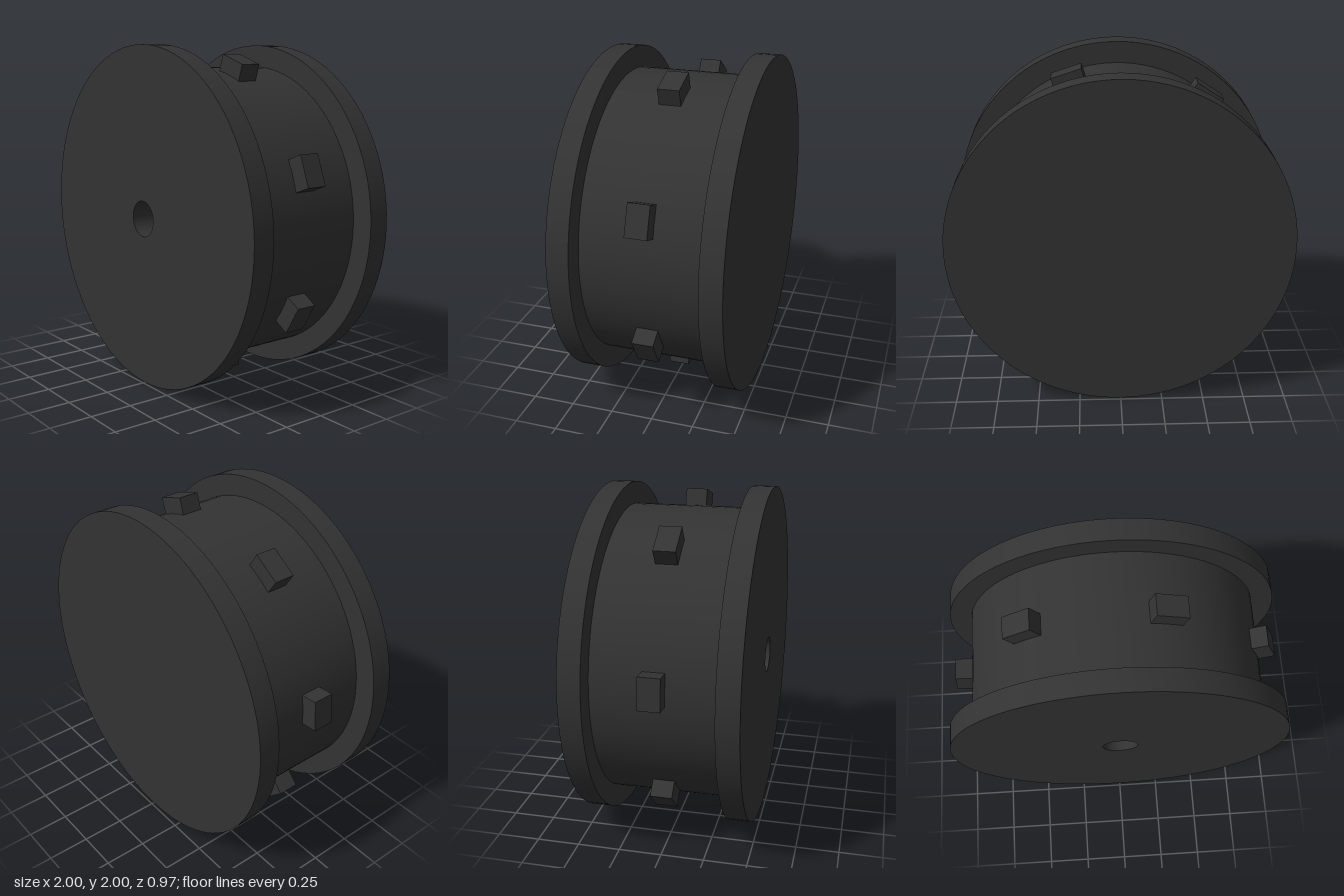
import * as THREE from 'three';
import { toCreasedNormals } from 'three/addons/utils/BufferGeometryUtils.js';

const FLANGE_R = 1, DRUM_R = 0.87, BORE_R = 0.105;
const HALF_WIDTH = 0.485, HALF_GROOVE = 0.355;
const TEETH = 7, TOOTH_TIP_R = 0.965, TOOTH_ROOT_R = 0.8;

export function createModel() {
  const model = new THREE.Group();
  model.name = 'sprocketWheel';
  const charcoal = new THREE.MeshStandardMaterial({ color: 0x333333 });
  charcoal.name = 'charcoal';

  // Wheel axis runs along z through the group's origin
  const wheel = new THREE.Group();
  wheel.name = 'wheel';
  wheel.position.y = 1;
  model.add(wheel);

  // Two flanges, drum and blind axle bore turned as one profile, back to front
  const profile = [
    [0, -HALF_WIDTH],
    [FLANGE_R, -HALF_WIDTH], [FLANGE_R, -HALF_GROOVE],
    [DRUM_R, -HALF_GROOVE], [DRUM_R, HALF_GROOVE],
    [FLANGE_R, HALF_GROOVE], [FLANGE_R, HALF_WIDTH],
    [BORE_R, HALF_WIDTH], [BORE_R, -HALF_GROOVE],
    [0, -HALF_GROOVE],
  ].map(([r, z]) => new THREE.Vector2(r, z));
  const body = new THREE.LatheGeometry(profile, 96);
  body.rotateX(Math.PI / 2);
  const drum = new THREE.Mesh(toCreasedNormals(body, Math.PI / 6), charcoal);
  drum.name = 'flangedDrum';
  wheel.add(drum);

  // Sprocket teeth evenly spaced around the drum
  const tooth = new THREE.BoxGeometry(TOOTH_TIP_R - TOOTH_ROOT_R, 0.184, 0.126);
  tooth.translate((TOOTH_TIP_R + TOOTH_ROOT_R) / 2, 0, 0);
  const phase = THREE.MathUtils.degToRad(20.5);
  for (let i = 0; i < TEETH; i++) {
    const mesh = new THREE.Mesh(tooth, charcoal);
    mesh.name = `tooth${i + 1}`;
    mesh.rotation.z = phase + (i * Math.PI * 2) / TEETH;
    wheel.add(mesh);
  }
  return model;
}
